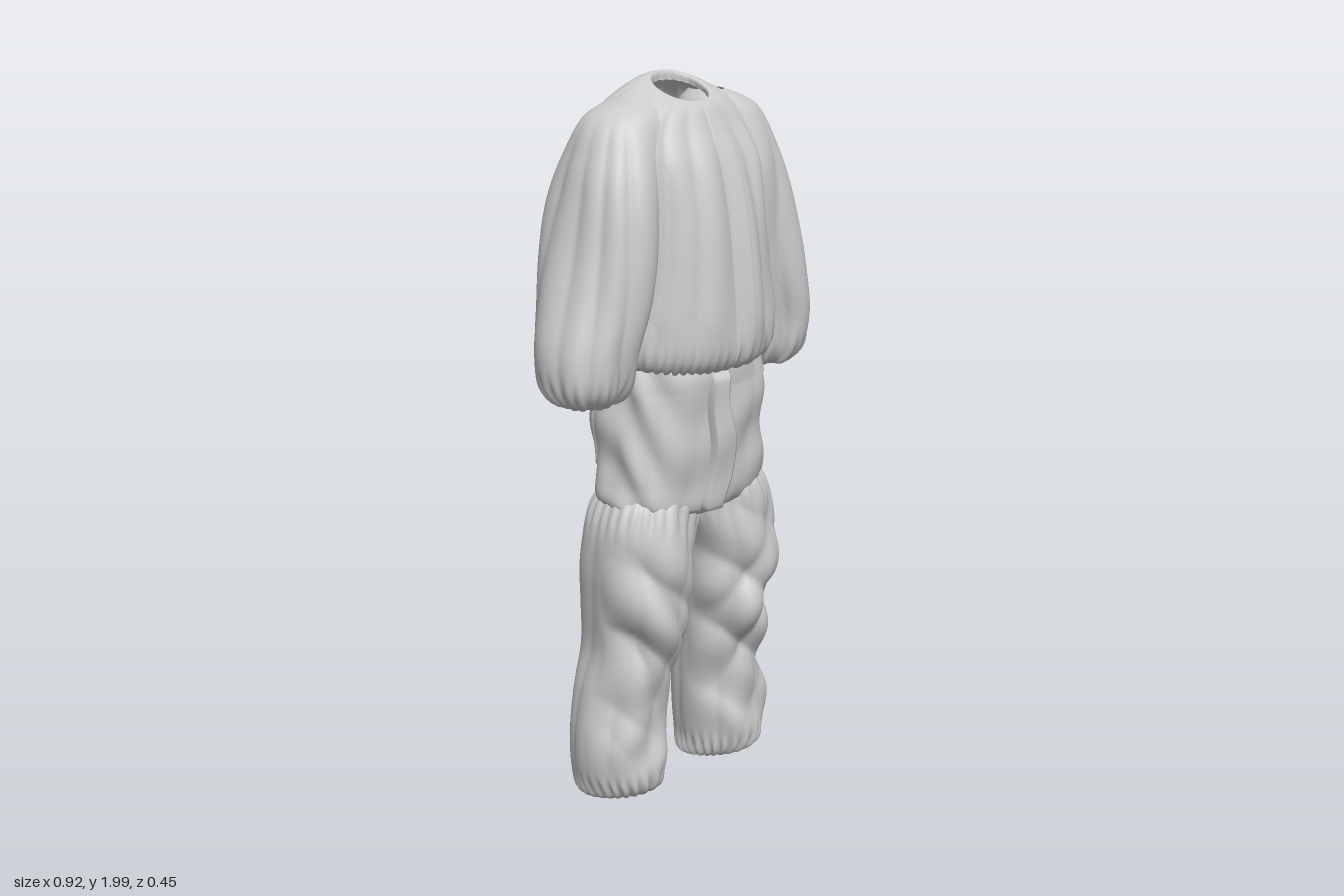
import * as THREE from 'three';

const { abs, sin, cos, PI, max, min, exp, sign, pow, atan2 } = Math;
const cloth = new THREE.MeshStandardMaterial({ color: 0xcccccc, side: THREE.DoubleSide, roughness: 0.9 });

// Rounded bulge with a sharp valley; n counts the bulges around a section
const crease = (n, a) => abs(sin(n * a / 2)) - 0.64;
// Soft bump around height c with half width w
const bump = (y, c, w) => exp(-(((y - c) / w) ** 2));

// Smooth interpolation between cross-sections
function sectionAt(rings, t) {
  const i = min(Math.floor(t), rings.length - 2), f = t - i;
  const p = k => rings[max(0, min(rings.length - 1, k))];
  return rings[i].map((b, k) => {
    const a = p(i - 1)[k], c = p(i + 1)[k], d = p(i + 2)[k];
    return b + 0.5 * f * (c - a + f * (2 * a - 5 * b + 4 * c - d + f * (3 * (b - c) + d - a)));
  });
}

// Ring: [y, centre x, half width, front z, back z, tilt]
function pointOn(part, side, angle, t, lift = 0) {
  const [y, cx, rx, zf, zb, tilt] = sectionAt(part.rings, t);
  const a = side > 0 ? angle : PI - angle;
  const e = 2 / part.power, c = cos(a), s = sin(a);
  const d = part.fold(a, y, side) + lift;
  const x = cx + sign(c) * pow(abs(c), e) * rx + c * d;
  const z = (zf + zb) / 2 + sign(s) * pow(abs(s), e) * (zf - zb) / 2 + s * d;
  return [side * x, max(0.002, y - tilt * z), z];
}

function gridMesh(name, nu, nv, closed, at) {
  const pos = [], index = [], row = closed ? nu : nu + 1;
  for (let j = 0; j <= nv; j++) {
    for (let i = 0; i < row; i++) pos.push(...at(i / nu, j / nv));
  }
  for (let j = 0; j < nv; j++) {
    for (let i = 0; i < nu; i++) {
      const k = (i + 1) % row, a = j * row + i, b = j * row + k;
      index.push(a, b, a + row, b, b + row, a + row);
    }
  }
  const g = new THREE.BufferGeometry();
  g.setAttribute('position', new THREE.Float32BufferAttribute(pos, 3));
  g.setIndex(index);
  g.computeVertexNormals();
  const mesh = new THREE.Mesh(g, cloth);
  mesh.name = name;
  return mesh;
}

// Tube of cloth closed around its sections
const body = (name, part, side = 1, nu = 120, nv = 64) =>
  gridMesh(name, nu, nv, true, (u, v) => pointOn(part, side, u * 2 * PI, v * (part.rings.length - 1)));

// Raised panel lying on a part, its rim sunk into the cloth; sag rounds the lower edge
const panel = (name, part, a0, a1, t0, t1, lift, { wave = 0, sag = 0 } = {}) =>
  gridMesh(name, 20, 30, false, (u, v) => {
    const rim = min(1, min(u, 1 - u) * 10, min(v, 1 - v) * 14);
    const a = a0 + (a1 - a0) * u + wave * sin(9 * v);
    const t = t0 + (t1 - t0) * v - sag * v * (2 * u - 1) ** 4;
    return pointOn(part, 1, a, t, -0.004 + (lift + 0.004) * rim);
  });

const blouse = {
  power: 2.15,
  rings: [
    [1.945, 0, 0.079, 0.062, -0.062, 0.45],
    [1.965, 0, 0.085, 0.07, -0.07, 0.47],
    [1.937, 0, 0.165, 0.09, -0.128, 0.22],
    [1.88, 0, 0.24, 0.118, -0.17, 0.13],
    [1.79, 0, 0.27, 0.158, -0.198, 0.05],
    [1.65, 0, 0.255, 0.193, -0.215, 0],
    [1.5, 0, 0.248, 0.213, -0.2, 0],
    [1.37, 0, 0.25, 0.222, -0.176, 0.05],
    [1.31, 0, 0.25, 0.212, -0.165, 0.13],
    [1.275, 0, 0.235, 0.178, -0.15, 0.17],
    [1.29, 0, 0.215, 0.16, -0.135, 0.17],
  ],
  // Folds fan out from the neck and run straight down to the gathered hem
  fold(a, y) {
    const fan = atan2(cos(a), abs(sin(a))) * (1 + 1.4 * max(0, y - 1.4));
    const drape = min(1, max(0, (1.97 - y) * 5)) * min(1, max(0.25, (y - 1.26) * 8));
    const back = max(0, -sin(a));
    return crease(12, fan) * (0.014 + 0.012 * back) * drape
      + sin(9 * a + 6 * y) * 0.004 * drape
      + crease(44, a + 0.1 * sin(3 * a)) * 0.014 * bump(y, 1.29, 0.035);
  },
};

const sleeve = {
  power: 2.1,
  rings: [
    [1.945, 0.13, 0.04, 0.02, -0.08, 0],
    [1.9, 0.168, 0.105, 0.075, -0.13, 0],
    [1.8, 0.205, 0.12, 0.115, -0.172, 0],
    [1.7, 0.232, 0.125, 0.135, -0.19, 0],
    [1.58, 0.26, 0.126, 0.142, -0.192, 0],
    [1.45, 0.297, 0.123, 0.142, -0.182, 0],
    [1.33, 0.338, 0.114, 0.135, -0.162, 0],
    [1.24, 0.345, 0.107, 0.12, -0.138, 0],
    [1.19, 0.338, 0.08, 0.08, -0.095, 0],
    [1.19, 0.335, 0.045, 0.045, -0.06, 0],
    [1.225, 0.335, 0.035, 0.035, -0.05, 0],
  ],
  fold(a, y, side) {
    const b = a + 1.4 * (y - 1.5) * sin(a) + 0.25 * sin(2 * a + side);
    const m = min(1, max(0, (1.93 - y) * 5));
    const inner = 0.5 - 0.5 * cos(a);
    return crease(8, b) * (0.009 + 0.014 * inner) * m + sin(3 * a + 11 * y + side) * 0.005 * m
      + crease(22, a) * 0.016 * bump(y, 1.2, 0.05);
  },
};

const hips = {
  power: 2.5,
  rings: [
    [1.275, 0, 0.215, 0.16, -0.145, 0],
    [1.24, 0, 0.228, 0.17, -0.16, 0],
    [1.15, 0, 0.238, 0.175, -0.176, 0],
    [1.05, 0, 0.247, 0.168, -0.176, 0],
    [0.95, 0, 0.253, 0.16, -0.152, 0],
    [0.88, 0, 0.25, 0.148, -0.135, 0],
    [0.85, 0, 0.17, 0.125, -0.11, 0],
    [0.82, 0, 0.02, 0.06, -0.06, 0],
  ],
  fold(a, y) {
    const flank = abs(cos(a));
    return sin(32 * y + 5 * sin(a) + 2 * cos(3 * a)) * (0.003 + 0.004 * flank)
      + crease(10, a + 0.8 * (y - 1)) * 0.006;
  },
};

const waistband = {
  power: 2.5,
  rings: [
    [1.27, 0, 0.222, 0.166, -0.152, 0],
    [1.235, 0, 0.23, 0.171, -0.162, 0],
    [1.2, 0, 0.233, 0.172, -0.167, 0],
  ],
  fold: (a, y) => hips.fold(a, y) + 0.006,
};

const leg = {
  power: 2.2,
  rings: [
    [0.92, 0.13, 0.105, 0.12, -0.11, 0],
    [0.88, 0.135, 0.132, 0.14, -0.135, 0],
    [0.81, 0.148, 0.142, 0.15, -0.147, 0],
    [0.7, 0.17, 0.124, 0.158, -0.16, 0],
    [0.58, 0.166, 0.117, 0.15, -0.168, 0],
    [0.46, 0.169, 0.104, 0.122, -0.172, 0],
    [0.34, 0.187, 0.112, 0.085, -0.174, 0],
    [0.22, 0.199, 0.12, 0.088, -0.176, -0.05],
    [0.12, 0.202, 0.114, 0.092, -0.174, -0.15],
    [0.06, 0.195, 0.095, 0.08, -0.16, -0.22],
    [0.042, 0.185, 0.065, 0.045, -0.125, -0.22],
    [0.075, 0.182, 0.045, 0.01, -0.09, -0.2],
  ],
  fold(a, y, side) {
    const front = pow(max(0, sin(a)), 0.7);
    const knee = bump(y, 0.52, 0.25) * front;
    // Slanting crumples over the knee, crossing each other
    const slant = abs(sin(15 * y + 1.5 * cos(a) * side + 0.5 * side)) - 0.6;
    const cross = abs(sin(12 * y - 2.4 * cos(a) + side)) - 0.6;
    const m = min(1, max(0, (y - 0.03) * 8));
    return (slant * 0.032 + cross * 0.03) * knee
      + crease(6, a + 0.5 * y * side + 0.6) * 0.009 * m
      + crease(24, a + 0.1 * sin(2 * a)) * (0.009 * bump(y, 0.87, 0.05) + 0.02 * bump(y, 0.06, 0.04))
      + sin(22 * y + 4 * cos(a)) * 0.008 * front * bump(y, 0.18, 0.1);
  },
};

export function createModel() {
  const suit = new THREE.Group();
  suit.name = 'looseSuit';

  // Upper garment
  suit.add(body('blouse', blouse, 1, 176, 80));
  suit.add(panel('frontPlacket', blouse, PI / 2 - 0.2, PI / 2 + 0.03, 1.3, 8.8, 0.003));

  // Trouser seat with waistband and fly
  suit.add(body('trouserSeat', hips));
  suit.add(body('waistband', waistband, 1, 120, 6));
  suit.add(panel('fly', hips, PI / 2 - 0.03, PI / 2 + 0.18, 0.8, 5.7, 0.024, { wave: 0.03 }));

  // Paired back pockets, sleeves and trouser legs
  for (const s of [1, -1]) {
    const label = s > 0 ? 'left' : 'right';
    const mid = -PI / 2 + s * 0.68;
    suit.add(panel(label + 'BackPocket', hips, mid - 0.52, mid + 0.52, 1.9, 3.9, 0.006, { sag: 0.6 }));
    suit.add(body(label + 'Sleeve', sleeve, s));
    suit.add(body(label + 'TrouserLeg', leg, s, 120, 88));
  }
  return suit;
}
